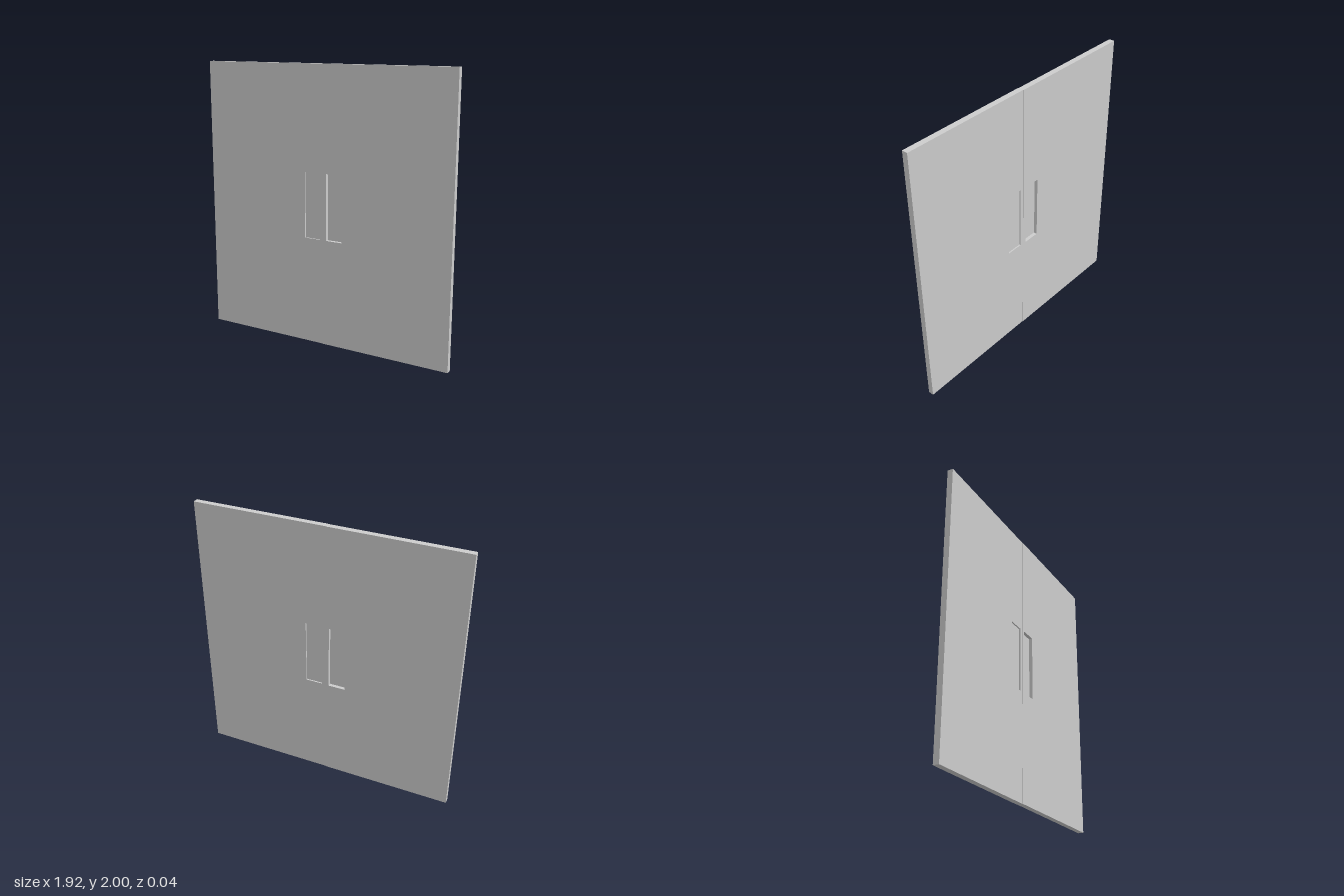
import * as THREE from 'three';

const WIDTH = 0.96, HEIGHT = 2;
const BACK = -0.019, FRONT = 0.022; // each leaf sits slightly off the centre plane
const PULL = { x0: 0.026, x1: 0.149, y0: 0.778, y1: 1.254 };
const DEEP = 0.025, SHALLOW = 0.01; // pull recess depths, front and back

function rectangle(path, x0, y0, x1, y1) {
  path.moveTo(x0, y0);
  path.lineTo(x1, y0);
  path.lineTo(x1, y1);
  path.lineTo(x0, y1);
  path.closePath();
  return path;
}

function createLeaf(name, material) {
  const leaf = new THREE.Group();
  leaf.name = name;

  // Door slab with an opening for the recessed pull
  const outline = rectangle(new THREE.Shape(), 0, 0, WIDTH, HEIGHT);
  outline.holes.push(rectangle(new THREE.Path(), PULL.x0, PULL.y0, PULL.x1, PULL.y1));
  const slabGeometry = new THREE.ExtrudeGeometry(outline, { depth: FRONT - BACK, bevelEnabled: false });
  slabGeometry.translate(0, 0, BACK);
  const slab = new THREE.Mesh(slabGeometry, material);
  slab.name = 'doorSlab';

  // Thin plate closing the opening: deep recess in front, shallow behind
  const z0 = BACK + SHALLOW, z1 = FRONT - DEEP;
  const plate = new THREE.Mesh(
    new THREE.BoxGeometry(PULL.x1 - PULL.x0, PULL.y1 - PULL.y0, z1 - z0), material);
  plate.position.set((PULL.x0 + PULL.x1) / 2, (PULL.y0 + PULL.y1) / 2, (z0 + z1) / 2);
  plate.name = 'pullPlate';

  leaf.add(slab, plate);
  return leaf;
}

export function createModel() {
  const group = new THREE.Group();
  group.name = 'doubleDoor';
  const material = new THREE.MeshStandardMaterial({ color: 0xcccccc });

  // The right leaf is the left leaf turned half a circle
  const left = createLeaf('leftLeaf', material);
  const right = createLeaf('rightLeaf', material);
  right.rotation.y = Math.PI;
  group.add(left, right);
  return group;
}
